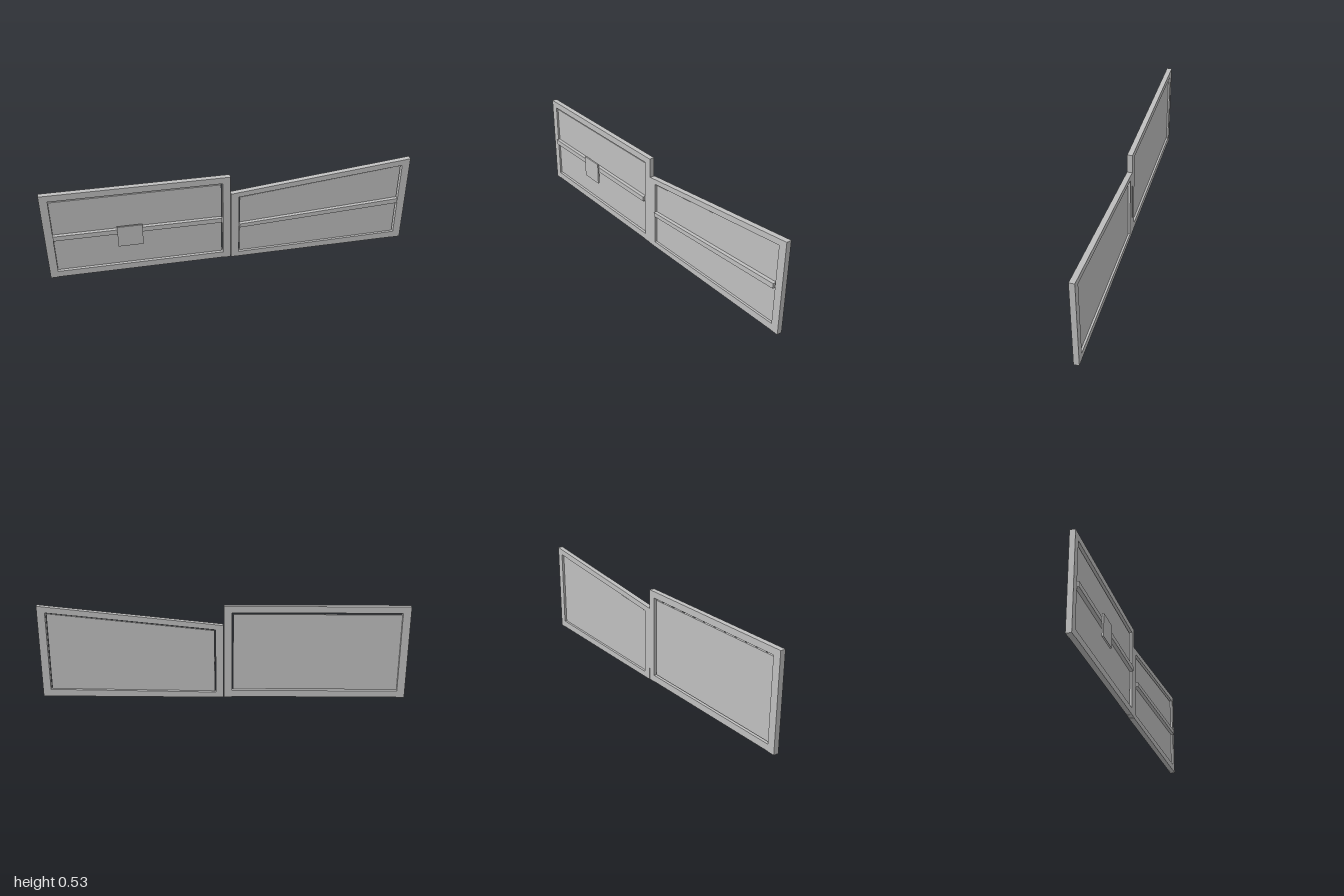
import * as THREE from 'three';

export function createModel() {
  const group = new THREE.Group();
  group.name = 'panelPair';
  const grey = new THREE.MeshStandardMaterial({ color: 0xc0c0c0 });
  grey.name = 'plain grey';

  // Four-sided board: left edge [x, bottom, top], right edge [x, bottom, top], depth z0 to z1
  function board(name, [xa, ba, ta], [xb, bb, tb], z0, z1) {
    const shape = new THREE.Shape([
      new THREE.Vector2(xa, ba), new THREE.Vector2(xb, bb),
      new THREE.Vector2(xb, tb), new THREE.Vector2(xa, ta),
    ]);
    const geo = new THREE.ExtrudeGeometry(shape, { depth: z1 - z0, bevelEnabled: false });
    geo.translate(0, 0, z0);
    const mesh = new THREE.Mesh(geo, grey);
    mesh.name = name;
    group.add(mesh);
  }

  const back = -0.023, front = 0.006;      // frame depth
  const panelBack = -0.013, panelFront = -0.004;
  const railFront = 0.016;

  // Straight wing
  board('straightOuterStile', [-1, 0.002, 0.528], [-0.957, 0.002, 0.528], back, front);
  board('straightInnerStile', [-0.045, 0.002, 0.528], [-0.003, 0.002, 0.528], back, front);
  board('straightTopRail', [-0.957, 0.492, 0.528], [-0.045, 0.492, 0.528], back, front);
  board('straightBottomRail', [-0.957, 0.004, 0.041], [-0.045, 0.004, 0.041], back, front);
  board('straightPanel', [-0.956, 0.046, 0.48], [-0.052, 0.046, 0.48], panelBack, panelFront);
  board('straightMiddleRail', [-0.957, 0.25, 0.278], [-0.052, 0.25, 0.278], panelFront, railFront);
  board('squarePlate', [-0.62, 0.175, 0.3], [-0.485, 0.175, 0.3], railFront, 0.025);

  // Sloping wing
  board('slopedInnerStile', [0, 0, 0.42], [0.043, 0, 0.425], back, front);
  board('slopedOuterStile', [0.957, 0.003, 0.522], [1, 0.003, 0.527], back, front);
  board('slopedTopRail', [0.043, 0.396, 0.425], [0.957, 0.489, 0.522], back, front);
  board('slopedBottomRail', [0.043, 0, 0.031], [0.957, 0.004, 0.044], back, front);
  board('slopedPanel', [0.049, 0.034, 0.388], [0.951, 0.046, 0.481], panelBack, panelFront);
  board('slopedMiddleRail', [0.046, 0.203, 0.226], [0.952, 0.25, 0.279], panelFront, railFront);

  return group;
}
